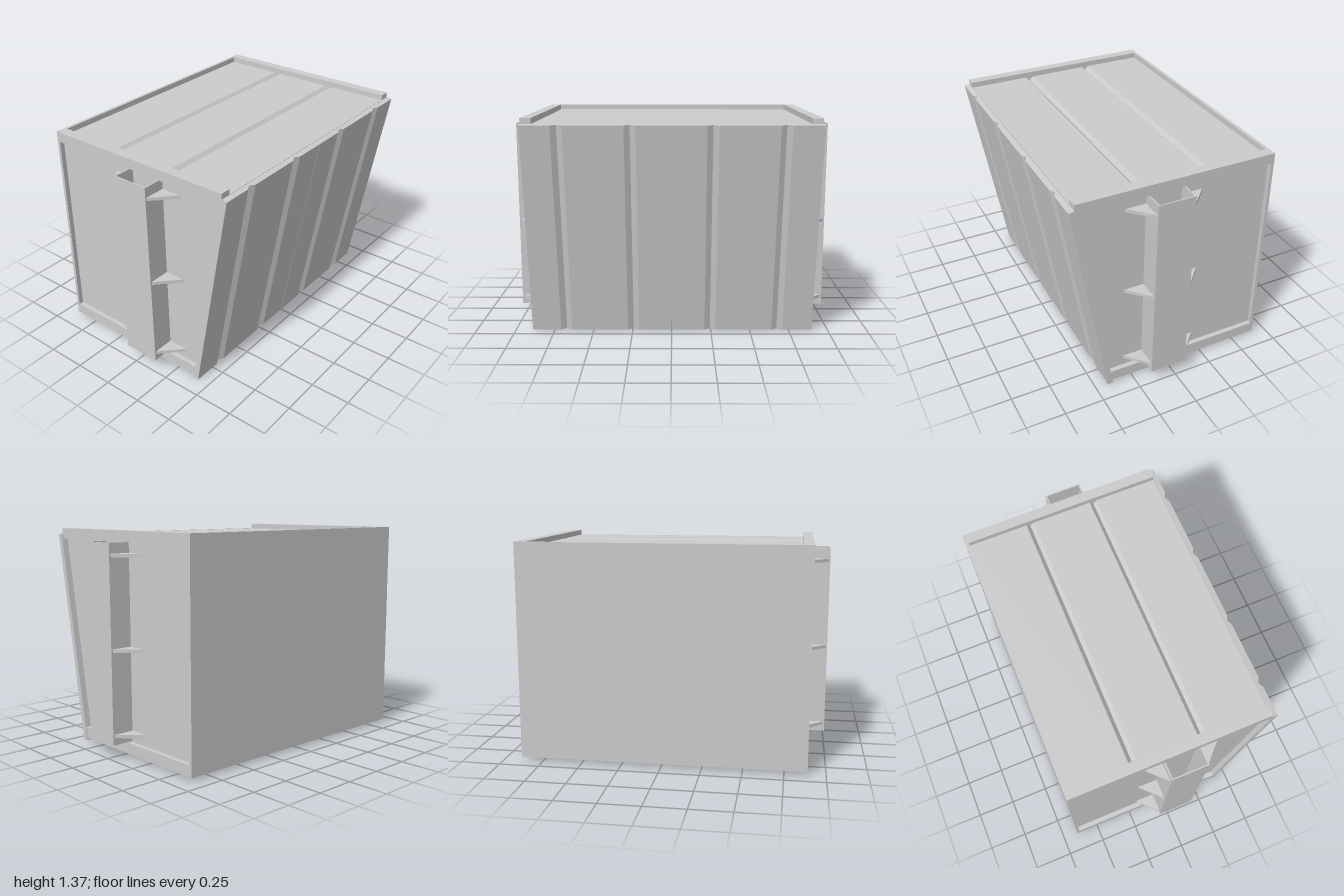
import * as THREE from 'three';

const material = new THREE.MeshStandardMaterial({ color: 0xcccccc, flatShading: true });

function add(parent, name, geometry) {
  const mesh = new THREE.Mesh(geometry, material);
  mesh.name = name;
  parent.add(mesh);
  return mesh;
}

// Box given by its lower and upper corners
function box(parent, name, [x0, y0, z0], [x1, y1, z1]) {
  const mesh = add(parent, name, new THREE.BoxGeometry(Math.abs(x1 - x0), y1 - y0, z1 - z0));
  mesh.position.set((x0 + x1) / 2, (y0 + y1) / 2, (z0 + z1) / 2);
  return mesh;
}

function extrude(points, depth) {
  const shape = new THREE.Shape(points.map(p => new THREE.Vector2(...p)));
  return new THREE.ExtrudeGeometry(shape, { depth, bevelEnabled: false });
}

// Extrudes a (z, y) outline sideways from x0 to x1
function sideExtrude(points, x0, x1) {
  return extrude(points, x1 - x0).rotateY(-Math.PI / 2).translate(x1, 0, 0);
}

// Points of a V groove centred on c, cutting from level toward level + depth
const groove = (c, half, level, depth) => [[c - half, level], [c, level + depth], [c + half, level]];

export function createModel() {
  const model = new THREE.Group();
  model.name = 'container';

  // Main body with V grooves across roof and floor
  const roof = 1.335, floor = 0.05, grooves = [-0.23, 0.198];
  add(model, 'body', sideExtrude([
    [-0.64, floor],
    ...grooves.flatMap(z => groove(z, 0.024, floor, 0.024)),
    [0.39, floor],
    [0.612, roof],
    ...[...grooves].reverse().flatMap(z => groove(z, 0.024, roof, -0.024).reverse()),
    [-0.64, roof],
  ], -0.86, 0.86));

  // Flat back wall, reaching slightly past roof and floor
  box(model, 'backWall', [-0.89, 0.02, -0.652], [0.89, 1.37, -0.632]);

  for (const s of [-1, 1]) {
    const side = new THREE.Group();
    side.name = s > 0 ? 'leftSide' : 'rightSide';
    model.add(side);
    const [in0, out0] = s > 0 ? [0.825, 0.89] : [-0.89, -0.825];

    // Frame rails along the upper and lower edges
    box(side, 'topRail', [in0, 1.305, -0.652], [out0, 1.37, 0.615]);
    add(side, 'bottomRail', sideExtrude(
      [[-0.652, 0.02], [0.388, 0.02], [0.4, 0.09], [-0.652, 0.09]], in0, out0));

    // Open lifting pocket
    const x0 = s * 0.85, x1 = s * 0.997, lo = 0.095, hi = 1.303;
    box(side, 'pocketFrontWall', [x0, lo, 0.163], [x1, hi, 0.172]);
    box(side, 'pocketBackWall', [x0, lo, -0.063], [x1, hi, -0.054]);
    box(side, 'pocketOuterWall', [s * 0.992, lo, -0.063], [s, hi, 0.172]);

    // Triangular gussets bracing the pocket
    for (const y of [0.15, 0.67, 1.23]) {
      for (const [z, dir] of [[0.17, 1], [-0.06, -1]]) {
        // Shape y becomes -z once laid flat
        const outline = [[s * 0.855, -z], [s * 0.99, -z], [s * 0.99, -z - dir * 0.004],
          [s * 0.86, -z - dir * 0.13], [s * 0.855, -z - dir * 0.13]];
        const gusset = add(side, 'gusset', extrude(outline, 0.02).rotateX(-Math.PI / 2));
        gusset.position.y = y - 0.01;
      }
    }
  }

  // Pair of sloping front doors with vertical V grooves
  const doors = new THREE.Group();
  doors.name = 'frontDoors';
  doors.position.z = 0.42;
  doors.rotation.x = Math.atan2(0.23, 1.33);
  model.add(doors);
  for (const s of [-1, 1]) {
    const edge = s > 0 ? 0.897 : -0.892;
    const outline = [
      [s * 0.001, 0],
      ...[0.245, 0.675].flatMap(c => groove(c, 0.035, 0, 0.018).map(([x, d]) => [s * x, d])),
      [edge, 0], [edge, 0.035], [s * 0.001, 0.035],
    ];
    add(doors, s > 0 ? 'leftDoor' : 'rightDoor', extrude(outline, 1.35).rotateX(-Math.PI / 2));
  }
  return model;
}
